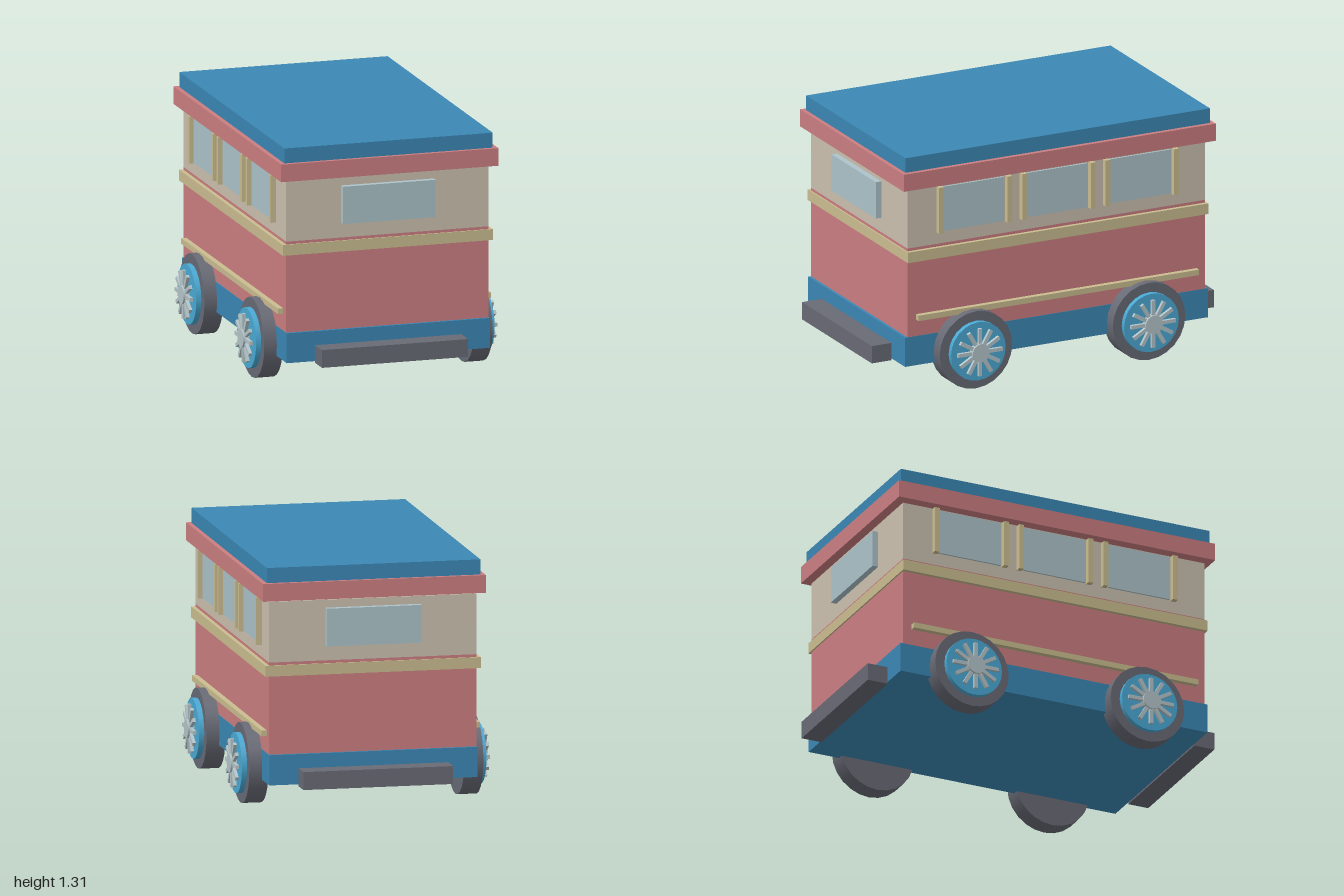
import * as THREE from 'three';

const mat = (name, color) => {
  const m = new THREE.MeshStandardMaterial({ color });
  m.name = name;
  return m;
};

export function createModel() {
  const blue = mat('blue paint', 0x3b87b4);
  const red = mat('red paint', 0xcb7e81);
  const cream = mat('cream panel', 0xcbc0af);
  const gold = mat('gold trim', 0xcabd90);
  const glass = mat('pale glass', 0xacc3ca);
  const rubber = mat('dark grey', 0x686a75);
  const rimBlue = mat('bright blue', 0x4aa9d4);
  const metal = mat('pale metal', 0xb4c5c9);

  const model = new THREE.Group();
  model.name = 'carriage';

  // Box given by its minimum and maximum corners
  const box = (name, material, [x0, y0, z0], [x1, y1, z1], parent = model) => {
    const mesh = new THREE.Mesh(new THREE.BoxGeometry(x1 - x0, y1 - y0, z1 - z0), material);
    mesh.position.set((x0 + x1) / 2, (y0 + y1) / 2, (z0 + z1) / 2);
    mesh.name = name;
    parent.add(mesh);
    return mesh;
  };
  // Box centred on x = 0 and z = 0
  const slab = (name, material, x, y0, y1, z) => box(name, material, [-x, y0, -z], [x, y1, z]);

  // Body, stacked from the bottom up
  slab('chassis', blue, 0.556, 0.155, 0.315, 0.885);
  slab('lowerBody', red, 0.554, 0.315, 0.803, 0.87);
  slab('upperBody', cream, 0.554, 0.803, 1.124, 0.87);
  slab('beltTrim', gold, 0.575, 0.73, 0.788, 0.878);
  slab('cornice', red, 0.595, 1.134, 1.228, 0.912);
  slab('roof', blue, 0.57, 1.228, 1.308, 0.89);

  // Bumpers and end windows
  for (const s of [1, -1]) {
    const end = s > 0 ? 'front' : 'back';
    const [z0, z1] = s > 0 ? [0.885, 1] : [-1, -0.885];
    box(end + 'Bumper', rubber, [-0.4, 0.145, z0], [0.4, 0.24, z1]);
    const [w0, w1] = s > 0 ? [0.87, 0.902] : [-0.902, -0.87];
    box(end + 'Window', glass, [-0.253, 0.882, w0], [0.253, 1.082, w1]);
  }

  // Cylinder with its axis along x, from x0 to x1
  const disc = (name, material, r, x0, x1, parent, sides = 24) => {
    const geo = new THREE.CylinderGeometry(r, r, x1 - x0, sides).rotateZ(-Math.PI / 2);
    const mesh = new THREE.Mesh(geo, material);
    mesh.position.x = (x0 + x1) / 2;
    mesh.name = name;
    parent.add(mesh);
  };

  // Wheel facing +x: tyre, rim, hub and twelve spokes
  const makeWheel = () => {
    const wheel = new THREE.Group();
    disc('tyre', rubber, 0.212, -0.05, 0.052, wheel);
    disc('rim', rimBlue, 0.16, 0.052, 0.08, wheel);
    disc('hub', metal, 0.05, 0.08, 0.114, wheel);
    for (let i = 0; i < 12; i++) {
      const spoke = new THREE.Mesh(
        new THREE.BoxGeometry(0.017, 0.09, 0.02).translate(0.096, 0.085, 0), metal);
      spoke.rotation.x = (i * Math.PI) / 6;
      spoke.name = 'spoke';
      wheel.add(spoke);
    }
    return wheel;
  };

  // Both sides: windows with posts, lower rail and wheels
  for (const s of [1, -1]) {
    const side = new THREE.Group();
    side.name = s > 0 ? 'leftSide' : 'rightSide';
    if (s < 0) side.rotation.y = Math.PI;
    model.add(side);

    for (const z of [-0.487, 0, 0.487]) {
      box('sideWindow', glass, [0.554, 0.872, z - 0.177], [0.564, 1.115, z + 0.177], side);
      for (const d of [-0.2, 0.2]) {
        box('windowPost', gold, [0.554, 0.867, z + d - 0.014], [0.585, 1.12, z + d + 0.014], side);
      }
    }
    box('lowerRail', gold, [0.554, 0.405, -0.82], [0.583, 0.435, 0.82], side);

    for (const z of [-0.506, 0.506]) {
      const wheel = makeWheel();
      wheel.name = 'wheel';
      wheel.position.set(0.573, 0.212, z);
      side.add(wheel);
    }
  }
  return model;
}
